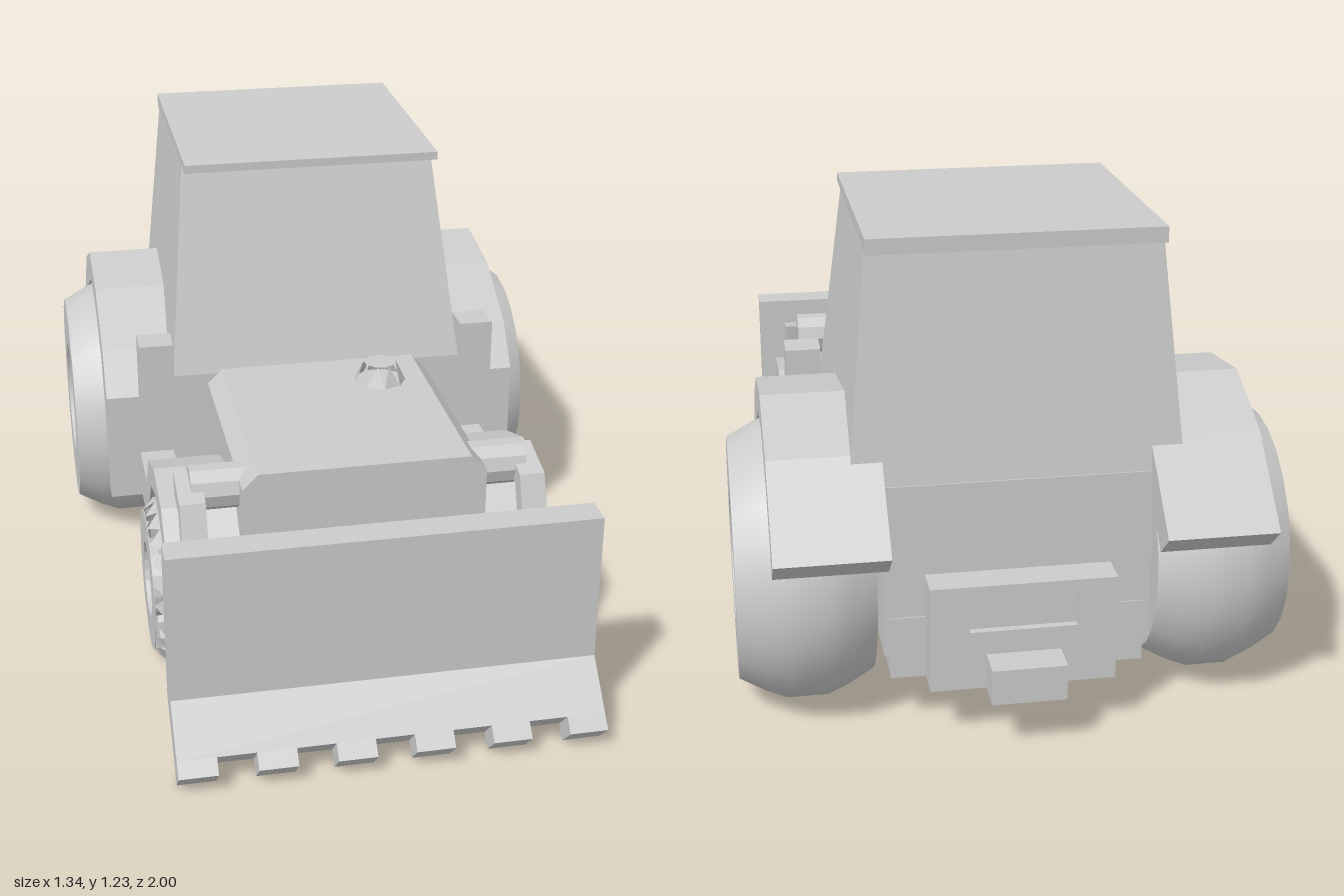
import * as THREE from 'three';
import { toCreasedNormals } from 'three/addons/utils/BufferGeometryUtils.js';
import { ConvexGeometry } from 'three/addons/geometries/ConvexGeometry.js';

const solid = new THREE.MeshStandardMaterial({ color: 0xcccccc, flatShading: true });
const smooth = new THREE.MeshStandardMaterial({ color: 0xcccccc });
const thin = new THREE.MeshStandardMaterial({ color: 0xcccccc, flatShading: true, side: THREE.DoubleSide });

function add(parent, name, geometry, material = solid) {
  const mesh = new THREE.Mesh(geometry, material);
  mesh.name = name;
  parent.add(mesh);
}

const shapeOf = (points) => new THREE.Shape(points.map(([a, b]) => new THREE.Vector2(a, b)));

// Box given by its limits on each axis
function box(x0, x1, y0, y1, z0, z1) {
  return new THREE.BoxGeometry(Math.abs(x1 - x0), y1 - y0, z1 - z0)
    .translate((x0 + x1) / 2, (y0 + y1) / 2, (z0 + z1) / 2);
}

// Side outline in (z, y), extruded across x
function sideways(points, xa, xb) {
  return new THREE.ExtrudeGeometry(shapeOf(points), { depth: Math.abs(xb - xa), bevelEnabled: false })
    .rotateY(-Math.PI / 2).translate(Math.max(xa, xb), 0, 0);
}

// Front outline in (x, y), extruded along z, with an optional hole
function lengthways(points, z0, z1, hole) {
  const shape = shapeOf(points);
  if (hole) shape.holes.push(shapeOf(hole));
  return new THREE.ExtrudeGeometry(shape, { depth: z1 - z0, bevelEnabled: false }).translate(0, 0, z0);
}

// Profile of (radius, x), turned around the x axis
function turned(profile, segments) {
  const lathe = new THREE.LatheGeometry(profile.map(([r, x]) => new THREE.Vector2(r, x)), segments);
  return lathe.rotateZ(-Math.PI / 2);
}

// Open ring of pointed teeth rising from radius r0 at y = 0 to radius r1 at y = h
function crown(r0, r1, h, n) {
  const p = [];
  for (let i = 0; i < n; i++) {
    const at = (k, r, y) => {
      const a = ((i + k) / n) * Math.PI * 2;
      p.push(r * Math.sin(a), y, r * Math.cos(a));
    };
    at(0, r0, 0);
    at(1, r0, 0);
    at(0.5, r1, h);
  }
  const g = new THREE.BufferGeometry();
  g.setAttribute('position', new THREE.Float32BufferAttribute(p, 3));
  g.computeVertexNormals();
  return g;
}

// Wheels are built with the outer side towards +x, around their own centre
function rearWheel() {
  const g = new THREE.Group();
  const tyre = turned([[0, -0.165], [0.3, -0.165], [0.335, -0.1], [0.355, -0.05], [0.355, 0.05],
    [0.335, 0.1], [0.3, 0.165], [0.165, 0.165], [0.165, 0.11], [0, 0.11]], 24);
  add(g, 'rearTyre', toCreasedNormals(tyre, 0.6), smooth);
  add(g, 'rearHub', turned([[0.09, 0.1], [0.09, 0.145], [0.055, 0.155], [0, 0.155]], 7));
  return g;
}

function frontWheel() {
  const g = new THREE.Group();
  add(g, 'frontTread', turned([[0.215, -0.07], [0.215, 0.07]], 22), thin);
  for (const s of [1, -1]) {
    add(g, 'shoulderTeeth', crown(0.215, 0.187, 0.03, 22).rotateZ(-s * Math.PI / 2).translate(s * 0.07, 0, 0), thin);
  }
  add(g, 'frontDisc', turned([[0, -0.1], [0.187, -0.1], [0.187, -0.098]], 22), thin);
  add(g, 'frontRim', turned([[0.187, 0.098], [0.187, 0.1], [0.1, 0.1], [0.1, 0.07], [0, 0.07]], 22), thin);
  add(g, 'frontHub', turned([[0.06, 0.06], [0.06, 0.09], [0, 0.095]], 7));
  return g;
}

export function createModel() {
  const tractor = new THREE.Group();
  tractor.name = 'tractor';

  // Chassis and hood
  add(tractor, 'chassis', sideways([[0.61, 0.3], [0.47, 0.14], [-0.84, 0.14], [-0.84, 0.3]], -0.31, 0.31));
  const hood = [[-0.31, 0.3], [0.31, 0.3], [0.31, 0.6], [0.27, 0.64], [-0.27, 0.64], [-0.31, 0.6]];
  add(tractor, 'hood', lengthways(hood, -0.1, 0.585));
  add(tractor, 'grilleFrame', lengthways(hood, 0.585, 0.61,
    [[-0.25, 0.4], [-0.25, 0.59], [0.25, 0.59], [0.25, 0.4]]));

  // Round filler cap on the hood
  const cap = new THREE.Group();
  cap.name = 'hoodCap';
  cap.position.set(0.145, 0.64, 0.11);
  add(cap, 'capTeeth', crown(0.07, 0.045, 0.055, 9), thin);
  add(cap, 'capTop', new THREE.CircleGeometry(0.045, 9).rotateX(-Math.PI / 2).translate(0, 0.054, 0), thin);
  tractor.add(cap);

  // Cab: tapered upper part, lower body, firewall and roof
  const corners = [];
  for (const s of [1, -1]) {
    for (const [x, y, z] of [[0.405, 0.63, -0.035], [0.4, 0.63, -0.835], [0.348, 1.187, -0.19], [0.348, 1.187, -0.76]]) {
      corners.push(new THREE.Vector3(s * x, y, z));
    }
  }
  add(tractor, 'cab', new ConvexGeometry(corners));
  add(tractor, 'lowerBody', box(-0.325, 0.325, 0.2, 0.64, -0.837, -0.1));
  add(tractor, 'firewall', box(-0.405, 0.405, 0.24, 0.635, -0.18, -0.037));
  add(tractor, 'roof', sideways([[-0.105, 1.188], [-0.105, 1.21], [-0.795, 1.226], [-0.795, 1.188]], -0.348, 0.348));

  // Rear housing with a recessed panel, and the drawbar
  add(tractor, 'rearHousing', box(-0.225, 0.225, 0.14, 0.41, -0.9, -0.8));
  add(tractor, 'rearPlate', lengthways([[-0.225, 0.14], [0.225, 0.14], [0.225, 0.41], [-0.225, 0.41]], -0.918, -0.9,
    [[-0.13, 0.29], [-0.13, 0.38], [0.13, 0.38], [0.13, 0.29]]));
  add(tractor, 'drawbar', box(-0.09, 0.09, 0.14, 0.23, -1, -0.9));

  // Axles
  for (const [name, y, z, half] of [['rearAxle', 0.355, -0.556, 0.5], ['frontAxle', 0.215, 0.335, 0.47]]) {
    add(tractor, name, new THREE.CylinderGeometry(0.05, 0.05, half * 2, 10).rotateZ(Math.PI / 2).translate(0, y, z));
  }

  const rearFender = [[-0.115, 0.23], [-0.115, 0.54], [-0.2, 0.65], [-0.39, 0.765], [-0.61, 0.8], [-0.81, 0.715],
    [-1, 0.535], [-0.935, 0.475], [-0.78, 0.635], [-0.61, 0.715], [-0.43, 0.69], [-0.28, 0.595], [-0.195, 0.45], [-0.175, 0.23]];
  const frontFender = [[0.555, 0.43], [0.48, 0.5], [0.305, 0.525], [0.145, 0.47], [0.065, 0.365], [-0.115, 0.365],
    [-0.115, 0.23], [0.1, 0.23], [0.125, 0.33], [0.2, 0.42], [0.31, 0.455], [0.42, 0.435], [0.5, 0.38]];
  const arm = [[0.47, 0.6], [0.6, 0.57], [0.715, 0.26], [0.79, 0.26], [0.79, 0.2], [0.69, 0.2], [0.565, 0.53], [0.48, 0.54]];

  for (const s of [1, -1]) {
    const side = s > 0 ? 'left' : 'right';

    // Wheels
    for (const [name, wheel, x, y, z] of [['RearWheel', rearWheel(), 0.505, 0.355, -0.556],
      ['FrontWheel', frontWheel(), 0.43, 0.215, 0.335]]) {
      wheel.name = side + name;
      wheel.position.set(s * x, y, z);
      wheel.rotation.y = s > 0 ? 0 : Math.PI;
      tractor.add(wheel);
    }

    // Fenders; the front one runs back into the step
    add(tractor, side + 'RearFender', sideways(rearFender, s * 0.32, s * 0.588));
    add(tractor, side + 'FrontFender', sideways(frontFender, s * 0.3, s * 0.5));
    add(tractor, side + 'SideBox', box(s * 0.405, s * 0.498, 0.55, 0.73, -0.11, -0.02));

    // Blade arm and its pivot
    add(tractor, side + 'Pivot', new THREE.CylinderGeometry(0.058, 0.058, 0.14, 10)
      .rotateZ(Math.PI / 2).translate(s * 0.36, 0.565, 0.505));
    add(tractor, side + 'BladeArm', sideways(arm, s * 0.4, s * 0.465));
  }

  // Blade with a toothed cutting edge
  add(tractor, 'blade', sideways([[0.79, 0.578], [0.87, 0.578], [0.87, 0.19], [0.97, 0.087], [0.915, 0.03], [0.79, 0.155]], -0.53, 0.53));
  const pitch = 1.06 / 11;
  for (let i = 0; i < 11; i += 2) {
    const x = -0.53 + i * pitch;
    add(tractor, 'bladeTooth', sideways([[0.97, 0.087], [1, 0.056], [0.945, 0], [0.915, 0.03]], x, x + pitch));
  }
  return tractor;
}
